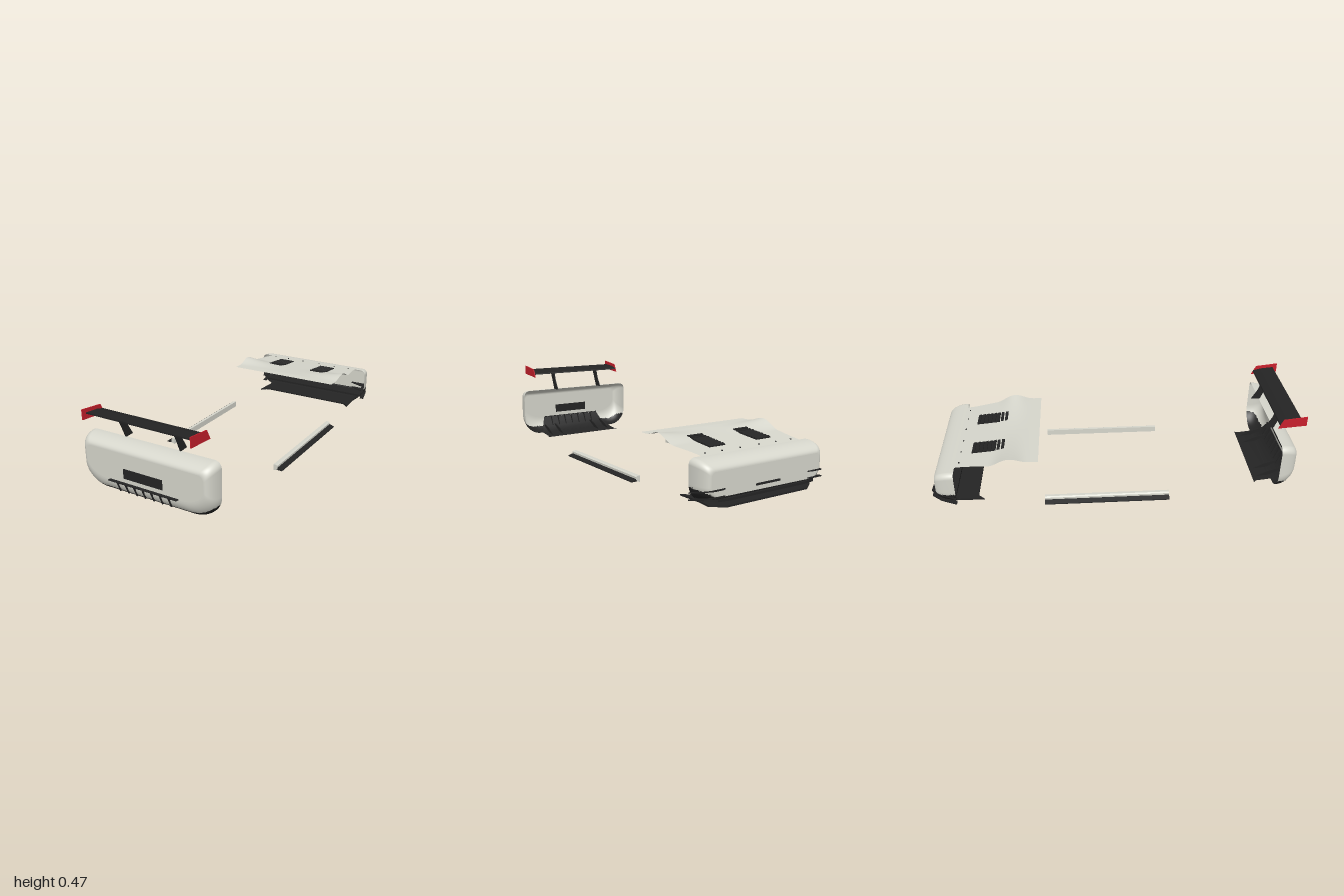
import * as THREE from 'three';

const mat = (name, color) => Object.assign(new THREE.MeshStandardMaterial({ color, side: THREE.DoubleSide }), { name });

export function createModel() {
  const paint = mat('bodyPaint', 0xd6d6cc);
  const carbon = mat('blackTrim', 0x242424);
  const red = mat('redEndPlate', 0xc8202c);
  const root = new THREE.Group();
  root.name = 'bodyKit';

  const add = (parent, name, geo, material) => {
    const m = new THREE.Mesh(geo, material);
    m.name = name;
    parent.add(m);
    return m;
  };
  const group = (name) => {
    const g = new THREE.Group();
    g.name = name;
    root.add(g);
    return g;
  };
  const box = (parent, name, w, h, d, x, y, z, material = carbon) => {
    const m = add(parent, name, new THREE.BoxGeometry(w, h, d), material);
    m.position.set(x, y, z);
    return m;
  };
  const extrude = (pts, depth) => new THREE.ExtrudeGeometry(
    new THREE.Shape(pts.map(p => new THREE.Vector2(...p))), { depth, bevelEnabled: false });
  // upright plate drawn in (z, y), centred on x
  const sidePlate = (parent, name, pts, x, t, material = carbon) =>
    add(parent, name, extrude(pts, t).translate(0, 0, -t / 2).rotateY(-Math.PI / 2).translate(x, 0, 0), material);
  // flat plate drawn in (x, z) with its top at y
  const planPlate = (parent, name, pts, y, t) =>
    add(parent, name, extrude(pts, t).rotateX(Math.PI / 2).translate(0, y, 0), carbon);

  // surface from a grid of points: f(u, v) with u, v in 0..1
  const sheet = (f, nu, nv) => {
    const pos = [], idx = [];
    for (let j = 0; j <= nv; j++) for (let i = 0; i <= nu; i++) pos.push(...f(i / nu, j / nv));
    for (let j = 0; j < nv; j++) for (let i = 0; i < nu; i++) {
      const a = j * (nu + 1) + i, b = a + nu + 1;
      idx.push(a, b, a + 1, a + 1, b, b + 1);
    }
    const g = new THREE.BufferGeometry();
    g.setAttribute('position', new THREE.Float32BufferAttribute(pos, 3));
    g.setIndex(idx);
    g.computeVertexNormals();
    return g;
  };

  // rounded outline with separate top and bottom corners, counter-clockwise
  const outline = ({ w, y0, y1, rt, bx, by }) => {
    const pts = [], N = 16;
    const corners = [[w - rt, y1 - rt, rt, rt], [rt - w, y1 - rt, rt, rt], [bx - w, y0 + by, bx, by], [w - bx, y0 + by, bx, by]];
    corners.forEach(([cx, cy, rx, ry], q) => {
      for (let i = 0; i <= N; i++) {
        const a = (q + i / N) * Math.PI / 2;
        pts.push([cx + rx * Math.cos(a), cy + ry * Math.sin(a)]);
      }
    });
    return pts;
  };

  // open bumper shell: rounded flank swept from rim to face, black underside, flat face
  const bumper = (parent, rim, face, z0, z1, dark) => {
    const A = outline(rim), B = outline(face), n = A.length, R = 20;
    const g = sheet((u, v) => {
      const i = Math.round(u * n) % n, a = v * Math.PI / 2, k = 1 - Math.cos(a);
      return [A[i][0] + (B[i][0] - A[i][0]) * k, A[i][1] + (B[i][1] - A[i][1]) * k, z0 + (z1 - z0) * Math.sin(a)];
    }, n, R);
    const p = g.attributes.position, src = g.index.array, lists = [[], []];
    for (let t = 0; t < src.length; t += 3) {
      const tri = [src[t], src[t + 2], src[t + 1]];
      const x = tri.reduce((s, i) => s + p.getX(i), 0) / 3, y = tri.reduce((s, i) => s + p.getY(i), 0) / 3;
      lists[y < dark + Math.max(0, Math.abs(x) - 0.3) * 0.5 ? 1 : 0].push(...tri);
    }
    g.setIndex([...lists[0], ...lists[1]]);
    g.computeVertexNormals();
    g.addGroup(0, lists[0].length, 0);
    g.addGroup(lists[0].length, lists[1].length, 1);
    add(parent, 'bumperShell', g, [paint, carbon]);
    add(parent, 'bumperFace', new THREE.ShapeGeometry(new THREE.Shape(B.map(q => new THREE.Vector2(...q)))).translate(0, 0, z1), paint);
  };

  // bumper with plate panel and diffuser
  const rear = group('rearBumper');
  bumper(rear, { w: 0.378, y0: 0.03, y1: 0.315, rt: 0.035, bx: 0.11, by: 0.11 },
    { w: 0.338, y0: 0.115, y1: 0.27, rt: 0.03, bx: 0.13, by: 0.08 }, 0.87, 0.96, 0.063);
  box(rear, 'platePanel', 0.226, 0.05, 0.008, 0, 0.168, 0.96);
  const profile = [[0.775, 0.016, 0.262], [0.79, 0.018, 0.25], [0.87, 0.027, 0.25], [0.93, 0.06, 0.225], [0.962, 0.118, 0.2]];
  add(rear, 'diffuser', sheet((u, v) => {
    const [z, y, w] = profile[Math.round(v * 4)];
    return [(u * 2 - 1) * w, y, z];
  }, 1, 4), carbon);
  box(rear, 'diffuserTopBlade', 0.4, 0.004, 0.022, 0, 0.118, 0.965);
  for (let i = -3; i <= 3; i++)
    sidePlate(rear, 'outerFin', [[0.92, 0.06], [0.95, 0.06], [0.974, 0.118], [0.945, 0.118]], i * 0.05, 0.005);
  for (const x of [-0.21, -0.135, 0.135, 0.21])
    sidePlate(rear, 'diffuserFin', [[0.8, 0.019], [0.87, 0.022], [0.94, 0.065], [0.92, 0.07], [0.86, 0.05]], x, 0.004);

  // wing on two swept struts
  const wing = group('rearWing');
  sidePlate(wing, 'wingBlade', [[0.857, 0.42], [0.9, 0.421], [0.975, 0.438], [0.975, 0.445], [0.9, 0.438], [0.86, 0.427]], 0, 0.61);
  for (const s of [-1, 1]) {
    sidePlate(wing, 'endPlate', [[1, 0.467], [0.876, 0.453], [0.85, 0.402], [1, 0.414]], s * 0.306, 0.005, red);
    sidePlate(wing, 'strut', [[0.925, 0.43], [0.875, 0.423], [0.86, 0.375], [0.825, 0.316], [0.875, 0.314], [0.9, 0.375]], s * 0.159, 0.005);
  }

  // opposite bumper, drawn facing +z and turned round
  const front = group('frontBumper');
  front.rotation.y = Math.PI;
  bumper(front, { w: 0.378, y0: 0.02, y1: 0.226, rt: 0.03, bx: 0.09, by: 0.09 },
    { w: 0.335, y0: 0.06, y1: 0.178, rt: 0.02, bx: 0.07, by: 0.05 }, 0.87, 0.98, 0.058);
  const half = (pts) => [...pts, ...pts.map(([x, z]) => [-x, z]).reverse()];
  planPlate(front, 'splitter', half([[0.27, 0.765], [0.29, 0.76], [0.318, 0.73], [0.312, 0.86], [0.32, 0.94], [0.25, 0.99]]), 0.019, 0.008);
  planPlate(front, 'lowerLip', half([[0.3, 0.88], [0.352, 0.88], [0.345, 0.94], [0.3, 0.98], [0.24, 0.99]]), 0.052, 0.012);
  box(front, 'grilleSlot', 0.15, 0.01, 0.008, 0, 0.085, 0.98);
  for (const s of [-1, 1]) for (const y of [0.103, 0.07]) {
    const c = planPlate(front, 'canard', [[0.25, 0.975], [0.285, 0.998], [0.335, 1], [0.365, 0.95], [0.378, 0.87], [0.355, 0.87], [0.335, 0.95]]
      .map(([x, z]) => [x * s, z]), y, 0.006);
    const p = c.geometry.attributes.position;
    for (let i = 0; i < p.count; i++) p.setY(i, p.getY(i) + (p.getZ(i) - 1) * 0.25);
    c.geometry.computeVertexNormals();
  }

  // hood with raised arches along both edges
  const hood = group('hood');
  const lerp = THREE.MathUtils.lerp, step = THREE.MathUtils.smoothstep;
  const hoodY = (u, z) => {
    const base = z < -0.785 ? lerp(0.226, 0.235, (z + 0.875) / 0.09) : lerp(0.235, 0.263, Math.min(1, (z + 0.785) / 0.305));
    const d = Math.min(1, Math.abs(z + 0.585) / 0.115);
    return base + 0.033 * u * u * Math.cos(d * Math.PI / 2) ** 2;
  };
  const hoodW = (z) => 0.31 + 0.03 * step(z, -0.86, -0.62) - 0.006 * step(z, -0.6, -0.45);
  add(hood, 'hoodSkin', sheet((u, v) => {
    const s = u * 2 - 1, z = lerp(-0.878, -0.425, v);
    return [s * hoodW(z), hoodY(s, z), z];
  }, 32, 48), paint);
  const tilt = -Math.atan(0.092);
  for (const s of [-1, 1]) {
    const x = s * 0.147;
    box(hood, 'ventPanel', 0.095, 0.004, 0.13, x, hoodY(0.44, -0.725) + 0.003, -0.725).rotation.x = tilt;
    for (let i = 0; i < 6; i++) {
      const z = -0.78 + i * 0.022;
      box(hood, 'ventLouvre', 0.095, 0.004, 0.016, x, hoodY(0.44, z) + 0.006, z).rotation.x = tilt - 0.25;
    }
    for (const z of [-0.646, -0.622])
      box(hood, 'ventSlat', 0.09, 0.006, 0.015, x, hoodY(0.44, z) + 0.004, z).rotation.x = tilt;
  }
  for (const x of [-0.27, -0.17, -0.06, 0.06, 0.17, 0.27])
    box(hood, 'rivet', 0.006, 0.004, 0.006, x, hoodY(0, -0.85) + 0.002, -0.85);

  // side skirts with sloping lips
  for (const s of [-1, 1]) {
    const skirt = group(s > 0 ? 'leftSkirt' : 'rightSkirt');
    const rail = (name, pts, m) => add(skirt, name, extrude(pts.map(([x, y]) => [x * s, y]), 0.68).translate(0, 0, -0.4), m);
    rail('skirtRail', [[0.323, 0], [0.346, 0.005], [0.346, 0.028], [0.338, 0.033], [0.323, 0.033]], paint);
    rail('skirtLip', [[0.34, 0.005], [0.374, 0.004], [0.374, 0.008], [0.347, 0.017], [0.34, 0.018]], carbon);
  }
  return root;
}
